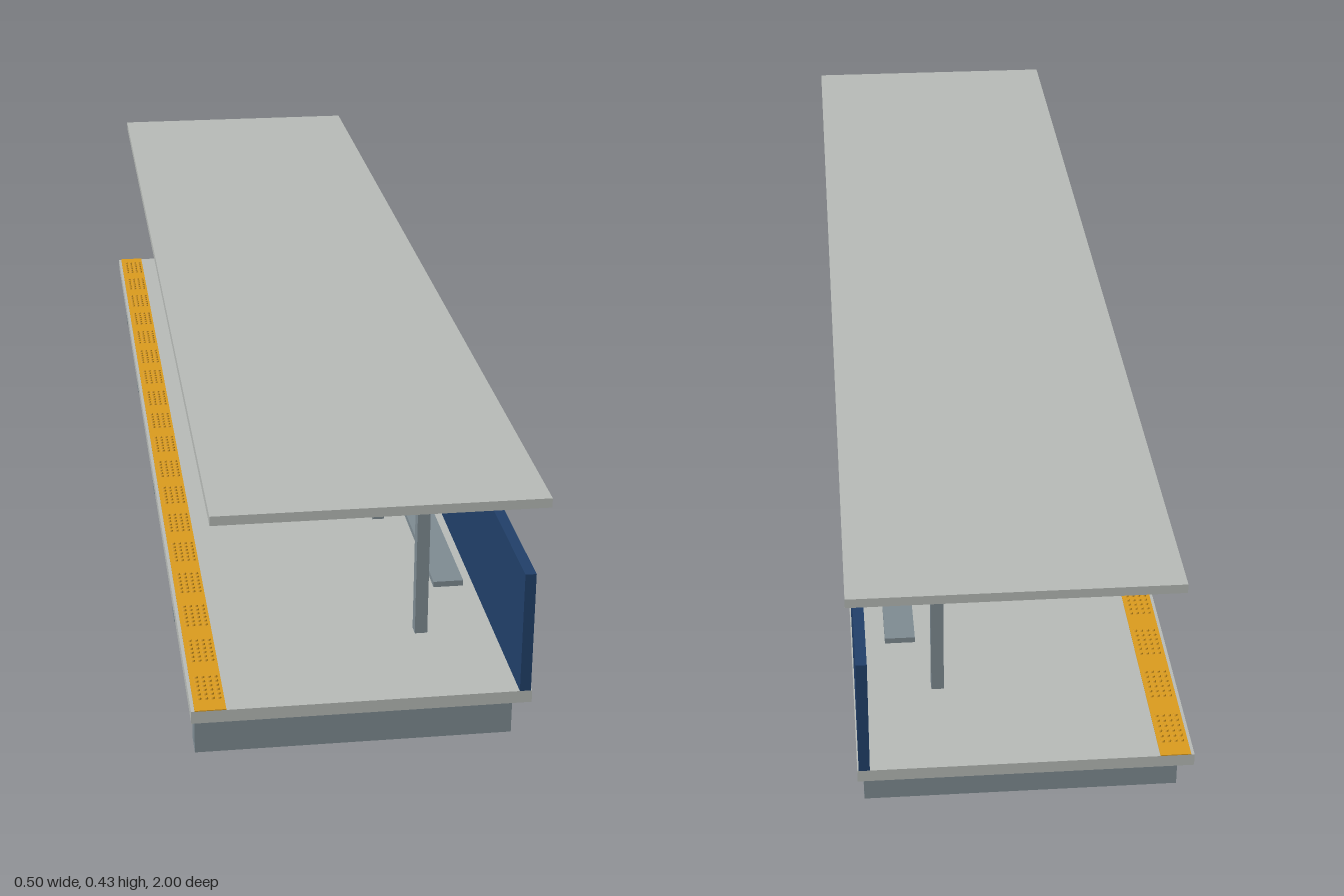
import * as THREE from 'three';
import { mergeGeometries } from 'three/addons/utils/BufferGeometryUtils.js';

function material(name, color) {
  const m = new THREE.MeshStandardMaterial({ color });
  m.name = name;
  return m;
}

export function createModel() {
  const model = new THREE.Group();
  model.name = 'stationPlatform';

  const concrete = material('concrete', 0xb8bcb8);
  const steel = material('greySteel', 0x7f8c93);
  const navy = material('navyPanel', 0x21406a);
  const yellow = material('safetyYellow', 0xdc9c1e);

  // Box given by its lower and upper limits on each axis
  function box(name, mat, [x0, x1], [y0, y1], [z0, z1]) {
    const mesh = new THREE.Mesh(new THREE.BoxGeometry(x1 - x0, y1 - y0, z1 - z0), mat);
    mesh.position.set((x0 + x1) / 2, (y0 + y1) / 2, (z0 + z1) / 2);
    mesh.name = name;
    model.add(mesh);
  }
  const around = (z, width) => [z - width / 2, z + width / 2];

  // Deck, back wall and roof
  box('deck', concrete, [-0.25, 0.24], [0.094, 0.113], [-0.98, 0.98]);
  box('backWall', navy, [0.222, 0.238], [0.113, 0.3], [-0.98, 0.98]);
  box('roof', concrete, [-0.222, 0.25], [0.412, 0.426], [-1, 1]);

  // Piers under the deck
  for (const z of [-0.885, -0.49, 0, 0.49, 0.885]) {
    box('pier', steel, [-0.24, 0.23], [0, 0.094], around(z, 0.042));
  }

  // Roof columns, each with a cross beam
  for (let i = -2; i <= 2; i++) {
    const z = i * 0.393;
    box('column', steel, [0.103, 0.122], [0.113, 0.394], around(z, 0.019));
    box('roofBeam', steel, [-0.211, 0.24], [0.394, 0.412], around(z, 0.015));
  }

  // Bench seats between the columns
  for (const bay of [-1.5, -0.5, 0.5, 1.5]) {
    box('bench', steel, [0.143, 0.189], [0.154, 0.163], around(bay * 0.393, 0.28));
  }

  // Tactile warning strip with groups of small studs
  box('warningStrip', yellow, [-0.245, -0.2], [0.113, 0.1145], [-0.98, 0.98]);
  const studs = [];
  const groups = 18, rows = 6;
  for (let g = 0; g < groups; g++) {
    for (let r = 0; r < rows; r++) {
      for (let c = 0; c < 4; c++) {
        const z = (g - (groups - 1) / 2) * 0.108 + (r - (rows - 1) / 2) * 0.012;
        const stud = new THREE.CylinderGeometry(0.0028, 0.0038, 0.0025, 8);
        studs.push(stud.translate(-0.236 + c * 0.0095, 0.1157, z));
      }
    }
  }
  const studMesh = new THREE.Mesh(mergeGeometries(studs), yellow);
  studMesh.name = 'warningStuds';
  model.add(studMesh);

  return model;
}
